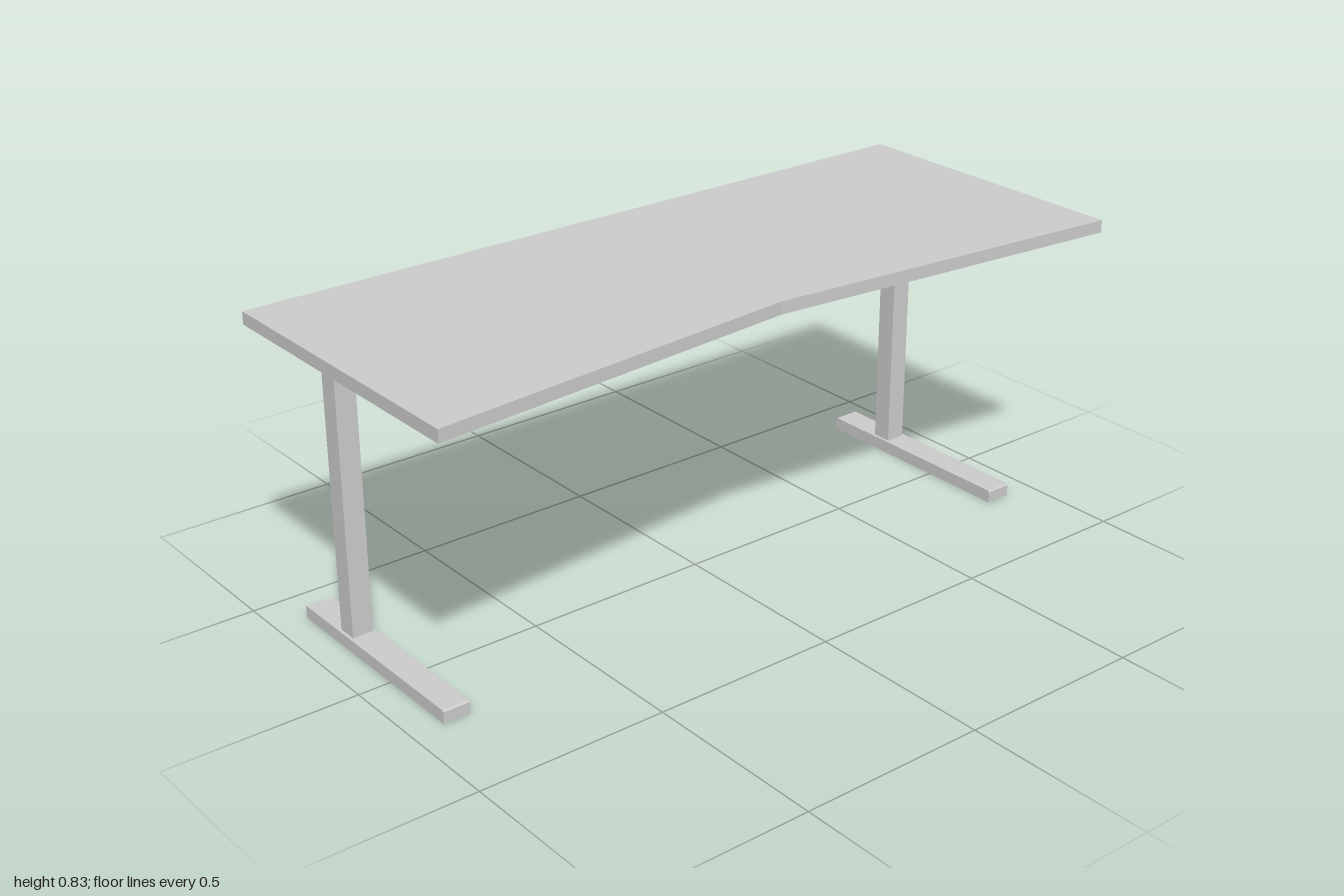
import * as THREE from 'three';

const material = new THREE.MeshStandardMaterial({ color: 0xcccccc, flatShading: true });

function add(parent, name, geometry, x = 0, y = 0, z = 0) {
  const mesh = new THREE.Mesh(geometry, material);
  mesh.name = name;
  mesh.position.set(x, y, z);
  parent.add(mesh);
  return mesh;
}

function extrude(points, depth) {
  const shape = new THREE.Shape(points.map(([a, b]) => new THREE.Vector2(a, b)));
  return new THREE.ExtrudeGeometry(shape, { depth, bevelEnabled: false });
}

// Side profile given as (z, y), extruded across x and centred on x = 0
function sideProfile(points, width) {
  return extrude(points, width).translate(0, 0, -width / 2).rotateY(-Math.PI / 2);
}

export function createModel() {
  const desk = new THREE.Group();
  desk.name = 'desk';

  // Top with a shallow V cut into its front edge
  const top = extrude([[-1, -0.41], [0, -0.32], [1, -0.41], [1, 0.41], [-1, 0.41]], 0.033);
  add(desk, 'tabletop', top.rotateX(-Math.PI / 2), 0, 0.793, 0);

  // Beam joining the two leg brackets
  add(desk, 'crossBeam', new THREE.BoxGeometry(1.82, 0.04, 0.058), 0, 0.764, -0.205);

  const footProfile = [
    [-0.387, 0], [0.228, 0], [0.228, 0.03], [0.224, 0.034], [-0.383, 0.034], [-0.387, 0.03],
  ];
  const bracketProfile = [
    [-0.31, 0.788], [-0.31, 0.77], [-0.24, 0.724], [-0.19, 0.725],
    [0.14, 0.754], [0.158, 0.77], [0.158, 0.788],
  ];

  for (const side of [-1, 1]) {
    const stand = new THREE.Group();
    stand.name = side > 0 ? 'leftStand' : 'rightStand';
    stand.position.x = side * 0.878;
    desk.add(stand);

    add(stand, 'foot', sideProfile(footProfile, 0.072));
    add(stand, 'leg', new THREE.BoxGeometry(0.055, 0.72, 0.054), 0, 0.388, -0.205);

    // Pair of thin support plates either side of the leg
    for (const s of [-1, 1]) {
      add(stand, 'bracketPlate', sideProfile(bracketProfile, 0.004), s * 0.031);
    }

    // Sleeve that holds the end of the beam
    add(stand, 'beamSleeve', new THREE.BoxGeometry(0.1, 0.048, 0.062), -side * 0.049, 0.762, -0.205);
  }
  return desk;
}
